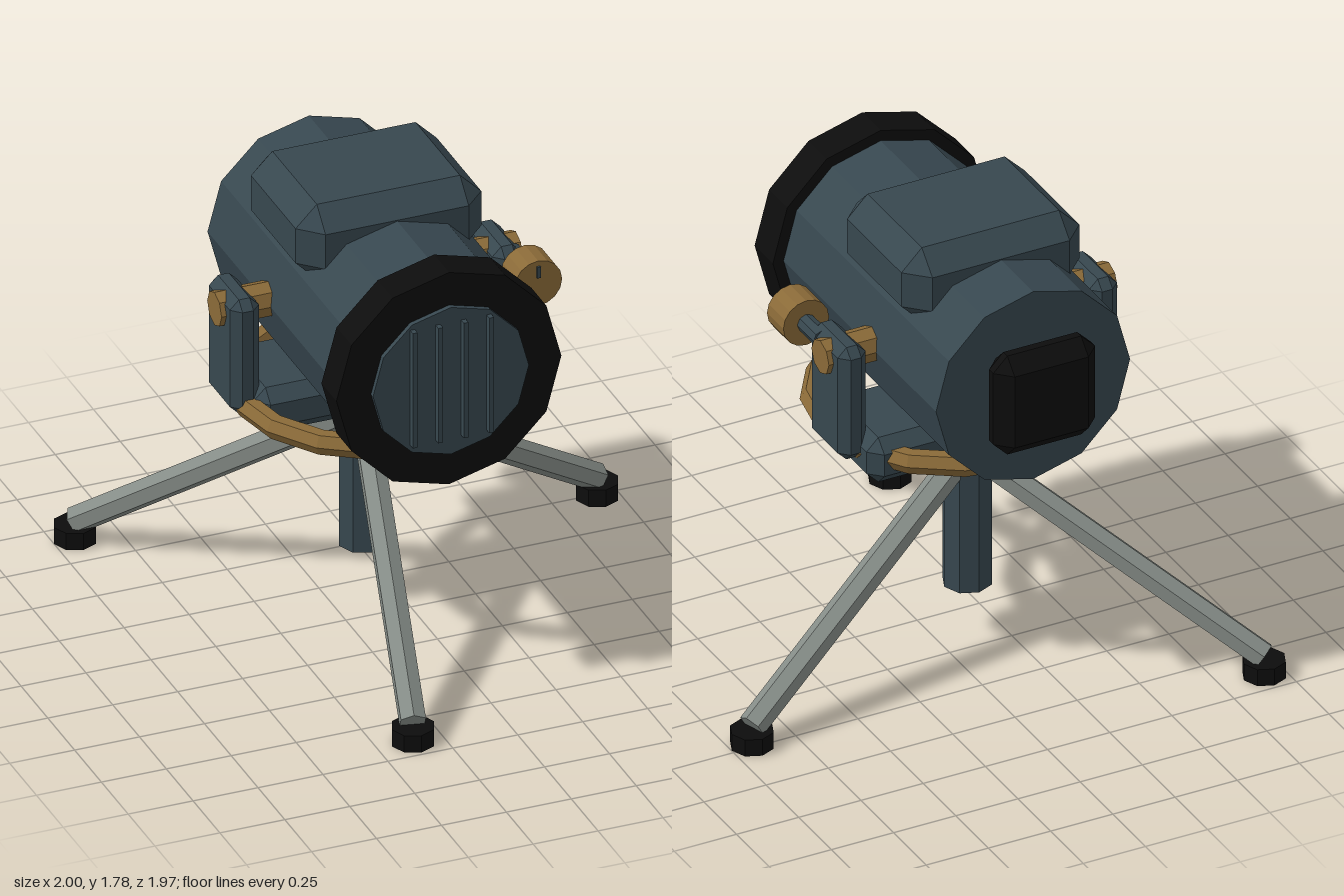
import * as THREE from 'three';
import { ConvexGeometry } from 'three/addons/geometries/ConvexGeometry.js';

const material = (name, color) => {
  const m = new THREE.MeshStandardMaterial({ color, flatShading: true });
  m.name = name;
  return m;
};

// Box with every edge and corner cut off by c
function chamferBox(w, h, d, c) {
  const [x, y, z] = [w / 2, h / 2, d / 2];
  const points = [];
  for (const sx of [-1, 1]) for (const sy of [-1, 1]) for (const sz of [-1, 1]) {
    points.push(
      new THREE.Vector3(sx * x, sy * (y - c), sz * (z - c)),
      new THREE.Vector3(sx * (x - c), sy * y, sz * (z - c)),
      new THREE.Vector3(sx * (x - c), sy * (y - c), sz * z));
  }
  return new ConvexGeometry(points);
}

// Cylinders lying along z and along x
const cylinderZ = (r, length, sides) => new THREE.CylinderGeometry(r, r, length, sides).rotateX(Math.PI / 2);
const cylinderX = (r, length, sides) => new THREE.CylinderGeometry(r, r, length, sides).rotateZ(Math.PI / 2);

export function createModel() {
  const model = new THREE.Group();
  model.name = 'tripodLamp';
  const slate = material('slate', 0x37474f);
  const brass = material('brass', 0x8a6a38);
  const black = material('black', 0x0d0d0d);
  const steel = material('steel', 0x858c87);

  const add = (name, geometry, mat, x, y, z) => {
    const mesh = new THREE.Mesh(geometry, mat);
    mesh.name = name;
    mesh.position.set(x, y, z);
    model.add(mesh);
    return mesh;
  };

  const cx = -0.12; // axis of the lamp
  const cy = 1.3;
  const cz = -0.155; // axis of the stand

  // Drum housing, front rim and lens plate
  add('housing', cylinderZ(0.39, 1.18, 12), slate, cx, cy, -0.07);
  add('frontRim', cylinderZ(0.433, 0.14, 12), black, cx, cy, 0.578);
  add('lensPlate', cylinderZ(0.3, 0.04, 12), slate, cx, cy, 0.647);
  for (let i = 0; i < 4; i++) {
    add('lensBar', new THREE.BoxGeometry(0.018, 0.47, 0.035), slate, cx - 0.148 + i * 0.098, cy + 0.005, 0.675);
  }

  // Top housing and rear cap
  add('topBox', chamferBox(0.715, 0.305, 0.58, 0.082), slate, cx, 1.623, -0.125);
  add('rearCap', chamferBox(0.41, 0.41, 0.145, 0.057), black, cx, cy + 0.005, -0.73);

  // Yoke: base, two arms and pivots
  add('yokeBase', chamferBox(0.975, 0.185, 0.41, 0.048), slate, cx, 0.927, cz);
  for (const s of [-1, 1]) {
    add('yokeArm', chamferBox(0.112, 0.465, 0.265, 0.035), slate, cx + s * 0.505, 1.143, -0.135);
    add('pivot', cylinderX(0.067, 0.24, 8), brass, cx + s * 0.46, cy, -0.135);
  }

  // Guard ring under the housing
  add('guardRing', new THREE.TorusGeometry(0.5, 0.045, 6, 16).rotateX(Math.PI / 2), brass, cx, 0.94, -0.04);

  // Adjusting knob on the left arm
  add('knobShaft', cylinderZ(0.036, 0.16, 8), slate, 0.417, 1.327, 0.01);
  add('knob', cylinderZ(0.092, 0.125, 16), brass, 0.417, 1.327, 0.117);
  add('knobMark', new THREE.BoxGeometry(0.014, 0.045, 0.009), slate, 0.417, 1.375, 0.183);

  // Centre post and three legs with rubber feet
  add('post', new THREE.CylinderGeometry(0.092, 0.092, 0.65, 8), slate, cx, 0.54, cz);
  for (const [fx, fz] of [[-0.92, -0.905], [0.918, -0.485], [-0.365, 0.905]]) {
    const top = new THREE.Vector3(cx, 0.77, cz);
    const foot = new THREE.Vector3(fx, 0.08, fz);
    top.lerp(foot, 0.06);
    const mid = top.clone().add(foot).multiplyScalar(0.5);
    const leg = add('leg', cylinderZ(0.052, top.distanceTo(foot), 6), steel, mid.x, mid.y, mid.z);
    leg.lookAt(foot);
    add('foot', new THREE.CylinderGeometry(0.081, 0.081, 0.068, 8), black, fx, 0.034, fz);
  }
  return model;
}
